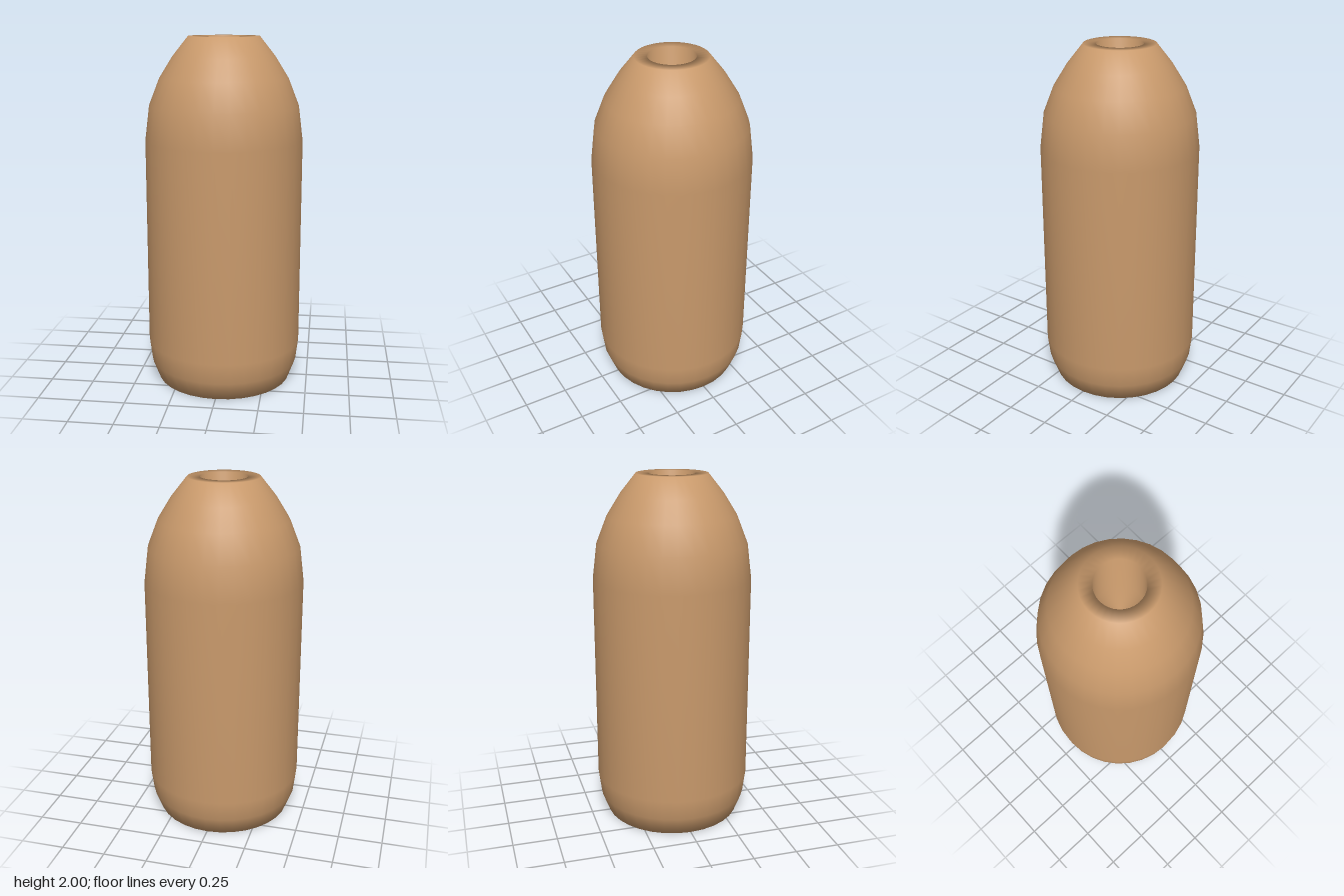
import * as THREE from 'three';
import { mergeVertices } from 'three/addons/utils/BufferGeometryUtils.js';

// Turned solid with normals shared across every ring, for soft edges
function turned(profile, segments) {
  const lathe = new THREE.LatheGeometry(profile.map(([r, y]) => new THREE.Vector2(r, y)), segments);
  lathe.deleteAttribute('normal');
  lathe.deleteAttribute('uv');
  const geometry = mergeVertices(lathe, 1e-4);
  geometry.computeVertexNormals();
  return geometry;
}

export function createModel() {
  const group = new THREE.Group();
  group.name = 'bottle';

  const profile = [
    // flat base and tapered foot
    [0, 0], [0.39, 0], [0.432, 0.11], [0.447, 0.23],
    // straight wall and rounded shoulder
    [0.447, 1.42], [0.422, 1.62], [0.363, 1.77], [0.288, 1.89], [0.2, 2],
    // flat lip and round mouth
    [0.13, 2], [0.13, 1.7], [0, 1.7],
  ];
  const material = new THREE.MeshStandardMaterial({ color: 0xc8996b });
  const body = new THREE.Mesh(turned(profile, 32), material);
  body.name = 'body';
  group.add(body);

  return group;
}
